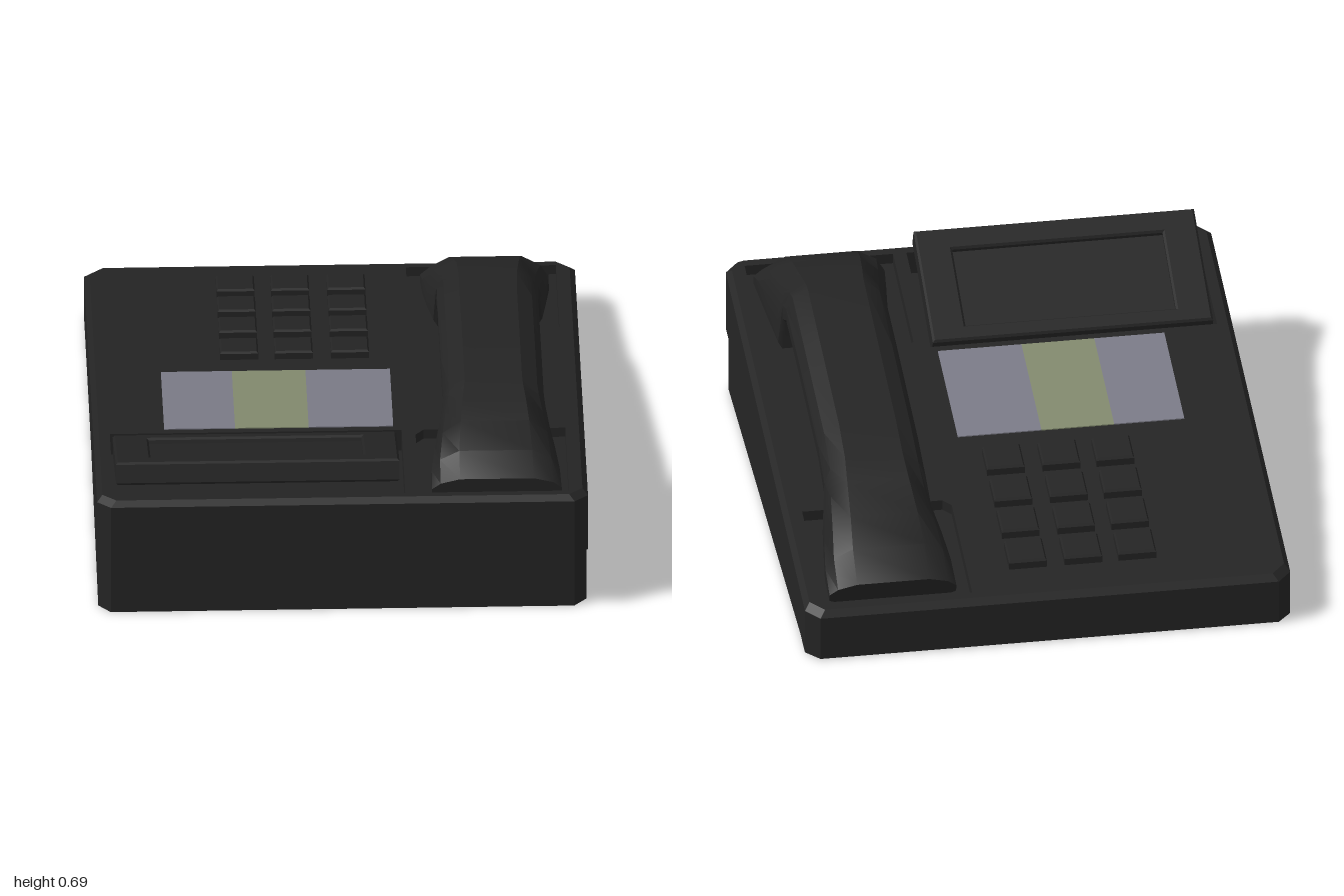
import * as THREE from 'three';
import { toCreasedNormals } from 'three/addons/utils/BufferGeometryUtils.js';

const topY = z => 0.355 + 0.157 * z;                       // sloping top face
const seamY = z => Math.max(0.003, 0.125 + 0.125 * z);     // lower edge of the upper shell

// Skin a list of equal-length loops, with optional end caps
function loft(loops, capStart = false, capEnd = false) {
  const n = loops[0].length, index = [], last = (loops.length - 1) * n;
  for (let k = 0; k < loops.length - 1; k++) {
    for (let i = 0; i < n; i++) {
      const a = k * n + i, b = k * n + (i + 1) % n;
      index.push(a, b, a + n, b, b + n, a + n);
    }
  }
  for (let i = 1; i < n - 1; i++) {
    if (capStart) index.push(0, i + 1, i);
    if (capEnd) index.push(last, last + i, last + i + 1);
  }
  const g = new THREE.BufferGeometry();
  g.setAttribute('position', new THREE.Float32BufferAttribute(loops.flat(2), 3));
  g.setIndex(index);
  return toCreasedNormals(g, 0.5);
}

// Chamfered rectangle in plan
function outline(w, zBack, zFront, c) {
  return [[-w + c, zFront], [w - c, zFront], [w, zFront - c], [w, zBack + c],
    [w - c, zBack], [-w + c, zBack], [-w, zBack + c], [-w, zFront - c]];
}
const rect = (x0, x1, z0, z1) => [[x0, z1], [x1, z1], [x1, z0], [x0, z0]];
const lift = (plan, yOf) => plan.map(([x, z]) => [x, yOf(z), z]);
const toVec = plan => plan.map(([x, z]) => new THREE.Vector2(x, -z));

// Shift a flat geometry up onto the sloping top face
function ontoSlope(g) {
  const p = g.attributes.position;
  for (let i = 0; i < p.count; i++) p.setY(i, p.getY(i) + topY(p.getZ(i)));
  g.computeVertexNormals();
  return g;
}

export function createModel() {
  const plastic = new THREE.MeshStandardMaterial({ color: 0x242424, side: THREE.DoubleSide });
  const lilac = new THREE.MeshStandardMaterial({ color: 0x7b7b87 });
  const green = new THREE.MeshStandardMaterial({ color: 0x828a6e });
  plastic.name = 'charcoal plastic';
  lilac.name = 'lilac grey card';
  green.name = 'olive green card';

  const phone = new THREE.Group();
  phone.name = 'deskPhone';
  const add = (name, geometry, material = plastic, parent = phone) => {
    const m = new THREE.Mesh(geometry, material);
    m.name = name;
    parent.add(m);
    return m;
  };

  // Hollow body: inset base, overhanging upper shell, bevelled rim
  const base = outline(0.895, -0.95, 0.96, 0.045);
  const shell = outline(0.9, -1, 1, 0.05);
  const rim = outline(0.88, -0.98, 0.98, 0.05);
  add('base', loft([lift(base, () => 0), lift(base, seamY)]));
  add('upperShell', loft([lift(base, seamY), lift(shell, seamY),
    lift(shell, z => topY(z) - 0.022), lift(rim, topY)]));

  // Top face with wells for the display and both handset ends
  const wells = [
    ['displayWell', rect(-0.84, 0.23, 0.42, 0.95), 0.09],
    ['frontCradle', [[0.28, 0.95], [0.83, 0.95], [0.83, 0.42], [0.31, 0.42], [0.28, 0.46]], 0.04],
    ['backCradle', [[0.28, -0.46], [0.31, -0.43], [0.83, -0.43], [0.83, -0.95], [0.28, -0.95]], 0.04],
  ];
  const face = new THREE.Shape(toVec(rim));
  for (const [name, plan, depth] of wells) {
    face.holes.push(new THREE.Path(toVec(plan)));
    add(name, loft([lift(plan, topY), lift(plan, z => topY(z) - depth)], false, true));
  }
  add('topFace', ontoSlope(new THREE.ShapeGeometry(face).rotateX(-Math.PI / 2)));

  // Three index cards
  [[-0.64, -0.38, lilac], [-0.38, -0.11, green], [-0.11, 0.2, lilac]].forEach(([x0, x1, mat]) => {
    const g = new THREE.BoxGeometry(x1 - x0, 0.008, 0.48).translate((x0 + x1) / 2, 0, 0.15);
    add('indexCard', ontoSlope(g), mat);
  });

  // Keypad
  for (const z of [-0.78, -0.607, -0.432, -0.253]) {
    for (const x of [-0.35, -0.15, 0.056]) {
      const key = (w, d) => rect(x - w, x + w, z - d, z + d);
      add('key', loft([lift(key(0.07, 0.062), topY),
        lift(key(0.07, 0.062), v => topY(v) + 0.026),
        lift(key(0.064, 0.056), v => topY(v) + 0.034)], false, true));
    }
  }

  // Tilted display with a recessed screen
  const display = new THREE.Group();
  display.name = 'display';
  display.position.set(-0.31, 0.43, 0.44);
  display.rotation.x = -0.397;
  phone.add(display);
  const frame = new THREE.Shape(toVec(rect(-0.52, 0.52, 0, 0.505)));
  frame.holes.push(new THREE.Path(toVec(rect(-0.39, 0.39, 0.065, 0.41))));
  const frameGeo = new THREE.ExtrudeGeometry(frame, {
    depth: 0.069, bevelEnabled: true, bevelSize: 0.008, bevelThickness: 0.008,
    bevelOffset: -0.008, bevelSegments: 1,
  });
  add('displayFrame', frameGeo.rotateX(-Math.PI / 2).translate(0, -0.077, 0), plastic, display);
  add('screen', new THREE.BoxGeometry(0.8, 0.04, 0.365).translate(0, -0.042, 0.2375), plastic, display);

  // Handset sections: top z, top y, bottom z, bottom y, left x, right x
  const sections = [
    [0.905, 0.53, 0.9, 0.45, 0.33, 0.805],
    [0.83, 0.605, 0.82, 0.44, 0.33, 0.8],
    [0.71, 0.655, 0.67, 0.415, 0.345, 0.785],
    [0.6, 0.672, 0.53, 0.395, 0.36, 0.77],
    [0.52, 0.683, 0.525, 0.51, 0.375, 0.755],
    [0.47, 0.685, 0.47, 0.54, 0.38, 0.75],
    [0.17, 0.635, 0.17, 0.5, 0.38, 0.75],
    [-0.28, 0.56, -0.3, 0.42, 0.38, 0.75],
    [-0.45, 0.52, -0.5, 0.36, 0.38, 0.755],
    [-0.57, 0.485, -0.53, 0.23, 0.37, 0.77],
    [-0.7, 0.415, -0.65, 0.21, 0.35, 0.785],
    [-0.81, 0.345, -0.78, 0.19, 0.335, 0.8],
    [-0.905, 0.25, -0.89, 0.175, 0.33, 0.8],
  ];
  const half = [[-0.92, 0], [-1, 0.1], [-1, 0.45], [-0.87, 0.76], [-0.57, 1]];
  const profile = [...half, ...half.map(([u, t]) => [-u, t]).reverse()];
  add('handset', loft(sections.map(([zt, yt, zb, yb, x0, x1]) => profile.map(([u, t]) => [
    (x0 + x1) / 2 + u * (x1 - x0) / 2, yb + (yt - yb) * t, zb + (zt - zb) * t,
  ])), true, true));

  return phone;
}
